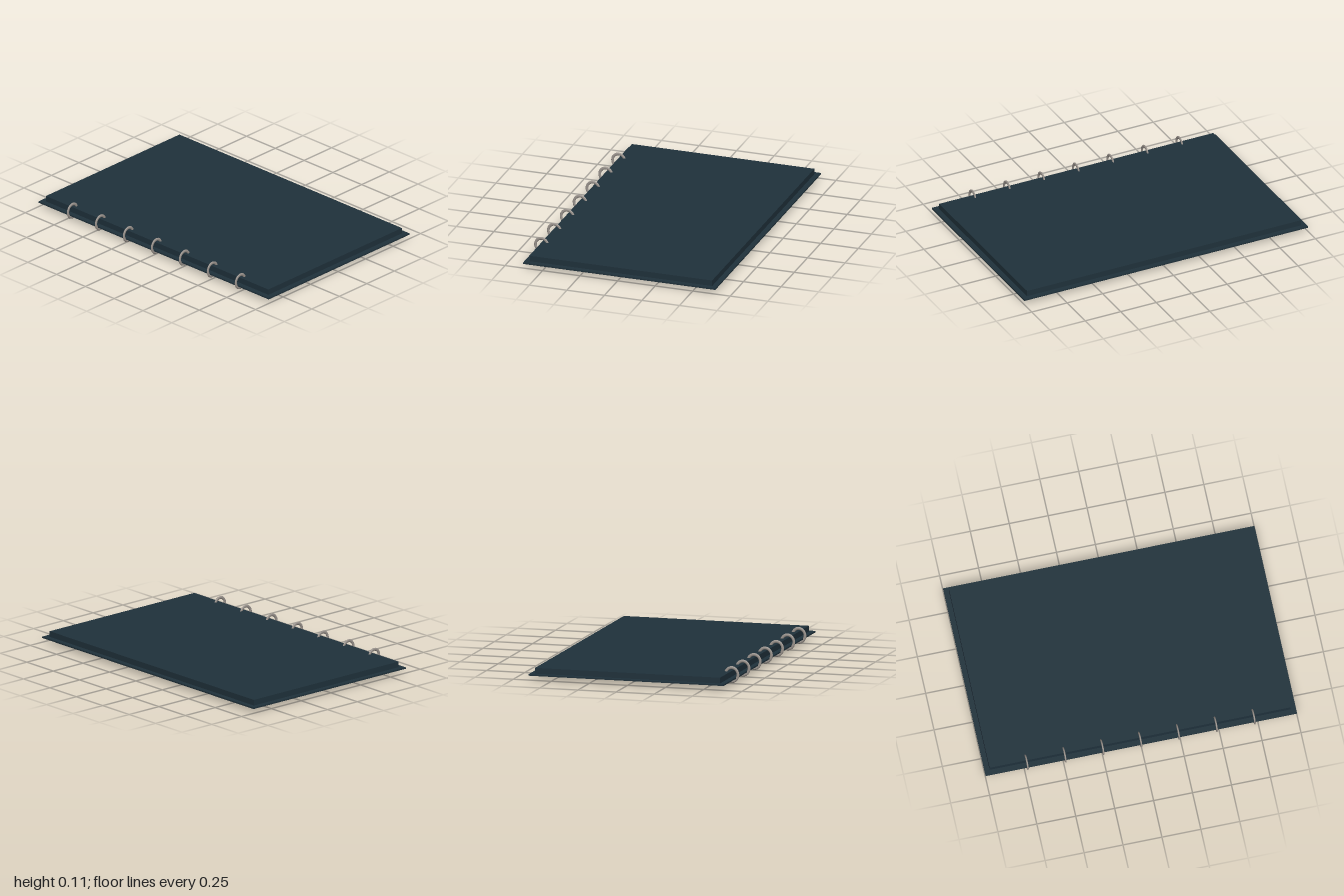
import * as THREE from 'three';

const coverMaterial = new THREE.MeshStandardMaterial({ color: 0x1f313b });
const ringMaterial = new THREE.MeshStandardMaterial({ color: 0x9a938d });

// Box given by its lower and upper corners
function slab(name, min, max) {
  const size = max.map((v, i) => v - min[i]);
  const mesh = new THREE.Mesh(new THREE.BoxGeometry(...size), coverMaterial);
  mesh.position.set(...max.map((v, i) => (v + min[i]) / 2));
  mesh.name = name;
  return mesh;
}

export function createModel() {
  const model = new THREE.Group();
  model.name = 'ringBinder';

  // Thin back cover, overhanging the block on all sides
  model.add(slab('backCover', [-0.63, 0.028, -1], [0.65, 0.037, 1]));

  // Block of pages lying on the cover
  model.add(slab('pageBlock', [-0.597, 0.037, -0.967], [0.617, 0.074, 0.965]));

  // Seven slightly flattened rings along the spine
  const ringGeometry = new THREE.TorusGeometry(0.041, 0.009, 12, 40);
  ringGeometry.scale(1, 1.08, 0.6);
  const rings = new THREE.Group();
  rings.name = 'bindingRings';
  for (let i = -3; i <= 3; i++) {
    const ring = new THREE.Mesh(ringGeometry, ringMaterial);
    ring.name = 'bindingRing';
    ring.position.set(-0.602, 0.054, i * 0.243 - 0.002);
    rings.add(ring);
  }
  model.add(rings);

  return model;
}
